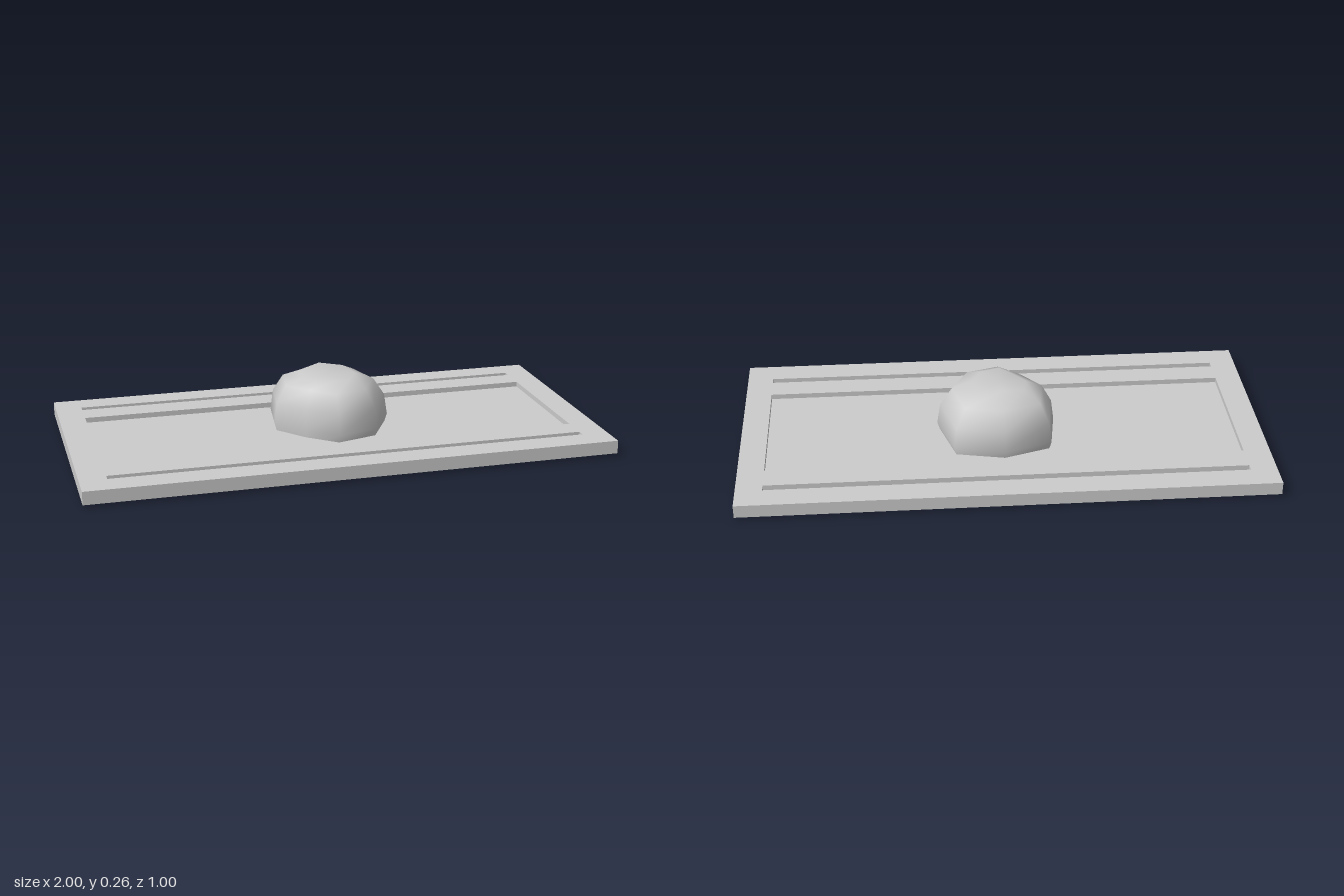
import * as THREE from 'three';

const stone = new THREE.MeshStandardMaterial({ color: 0xcccccc });
stone.name = 'stone grey';

const SLAB = { w: 2, d: 1, bottom: 0.01, top: 0.06 };
const RECESS_DEPTH = 0.02;
// Sunken areas of the slab: width, depth, centre z
const RECESSES = [
  { name: 'centrePanel', w: 1.8, d: 0.55, z: 0 },
  { name: 'backGroove', w: 1.8, d: 0.03, z: -0.39 },
  { name: 'frontGroove', w: 1.8, d: 0.03, z: 0.385 },
];

function addMesh(parent, geometry, name) {
  const mesh = new THREE.Mesh(geometry, stone);
  mesh.name = name;
  parent.add(mesh);
  return mesh;
}

// Box without its lid; inward turns the faces to show from inside
function openBox(w, h, d, inward) {
  const geometry = new THREE.BoxGeometry(w, h, d);
  const index = Array.from(geometry.index.array);
  index.splice(12, 6);
  if (inward) {
    index.reverse();
    const normal = geometry.attributes.normal;
    for (let i = 0; i < normal.array.length; i++) normal.array[i] *= -1;
  }
  geometry.setIndex(index);
  geometry.clearGroups();
  return geometry;
}

function rectangle(Type, w, d, y) {
  return new Type([[-1, -1], [1, -1], [1, 1], [-1, 1]]
    .map(([sx, sy]) => new THREE.Vector2(sx * w / 2, y + sy * d / 2)));
}

function createSlab() {
  const slab = new THREE.Group();
  slab.name = 'slab';
  const height = SLAB.top - SLAB.bottom;
  addMesh(slab, openBox(SLAB.w, height, SLAB.d, false), 'slabSides')
    .position.y = (SLAB.top + SLAB.bottom) / 2;

  // Top face, cut out over each sunken area
  const face = rectangle(THREE.Shape, SLAB.w, SLAB.d, 0);
  for (const r of RECESSES) {
    face.holes.push(rectangle(THREE.Path, r.w, r.d, -r.z));
    addMesh(slab, openBox(r.w, RECESS_DEPTH, r.d, true), r.name)
      .position.set(0, SLAB.top - RECESS_DEPTH / 2, r.z);
  }
  addMesh(slab, new THREE.ShapeGeometry(face).rotateX(-Math.PI / 2), 'slabTop')
    .position.y = SLAB.top;
  return slab;
}

function createBoulder() {
  // Widest outline [x, z], starting at the back and going towards +x
  const outline = [
    [0, -0.235], [0.19, -0.195], [0.247, 0], [0.16, 0.16],
    [0, 0.205], [-0.11, 0.115], [-0.205, 0], [-0.18, -0.178],
  ];
  // Horizontal rings [height, scale of the outline]
  const rings = [[0, 0.91], [0.07, 1], [0.15, 0.95], [0.218, 0.77], [0.247, 0.46]];
  // Uneven crown
  const crown = [0.018, 0.007, 0.002, 0, 0.002, -0.004, -0.004, 0.004];
  const n = outline.length;
  const points = [];
  const faces = [];

  rings.forEach(([y, s], i) => outline.forEach(([x, z], j) => {
    points.push(x * s, y + (i === rings.length - 1 ? crown[j] : 0), z * s);
  }));
  const apex = points.length / 3;
  points.push(0, 0.242, 0);

  // Flat base with its own corners, so its rim stays sharp
  const base = apex + 1;
  outline.forEach(([x, z]) => points.push(x * rings[0][1], 0, z * rings[0][1]));
  points.push(0, 0, 0);

  for (let j = 0; j < n; j++) {
    const k = (j + 1) % n;
    for (let i = 0; i < rings.length - 1; i++) {
      const a = i * n + j, b = i * n + k;
      faces.push(a, a + n, b, b, a + n, b + n);
    }
    const last = (rings.length - 1) * n;
    faces.push(last + j, apex, last + k);
    faces.push(base + j, base + k, base + n);
  }

  const geometry = new THREE.BufferGeometry();
  geometry.setAttribute('position', new THREE.Float32BufferAttribute(points, 3));
  geometry.setIndex(faces);
  geometry.computeVertexNormals();
  return geometry;
}

export function createModel() {
  const model = new THREE.Group();
  model.name = 'boulderOnSlab';
  model.add(createSlab());
  addMesh(model, createBoulder(), 'boulder');
  return model;
}
